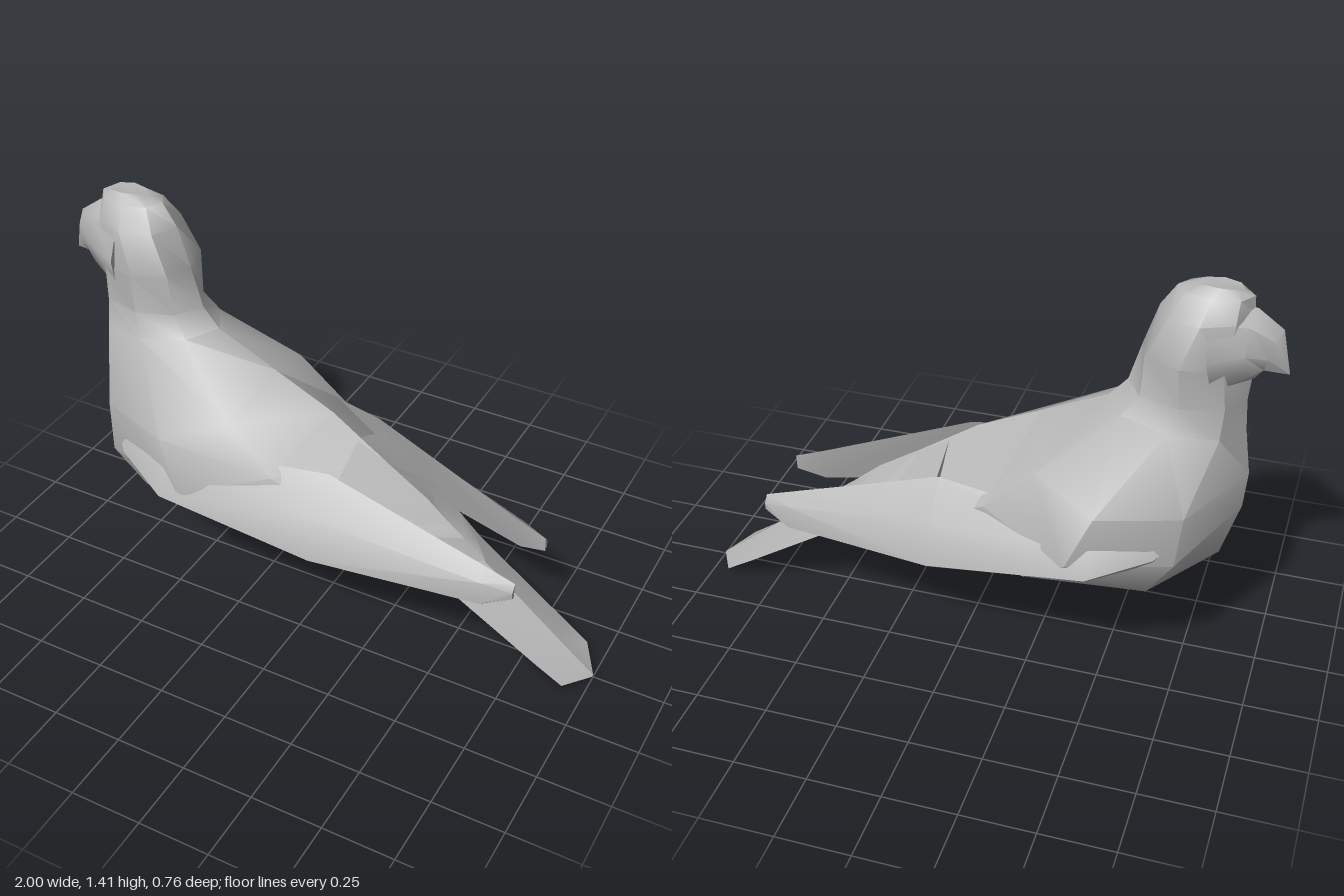
import * as THREE from 'three';
import { toCreasedNormals } from 'three/addons/utils/BufferGeometryUtils.js';

// Skin closed rings of [x, y, z] points and cap both ends
function loft(rings, crease = 0.7) {
  const n = rings[0].length;
  const pos = rings.flat(2);
  const idx = [];
  for (let r = 0; r < rings.length - 1; r++) {
    for (let i = 0; i < n; i++) {
      const a = r * n + i, b = r * n + (i + 1) % n;
      idx.push(a, b, a + n, b, b + n, a + n);
    }
  }
  const last = (rings.length - 1) * n;
  for (const [start, ring] of [[0, rings[0]], [last, rings[rings.length - 1]]]) {
    const c = pos.length / 3;
    for (let k = 0; k < 3; k++) pos.push(ring.reduce((s, p) => s + p[k], 0) / n);
    for (let i = 0; i < n; i++) {
      const a = start + i, b = start + (i + 1) % n;
      if (start === 0) idx.push(c, b, a); else idx.push(c, a, b);
    }
  }
  // Turn the faces outwards if the enclosed volume is negative
  const v = i => new THREE.Vector3().fromArray(pos, i * 3);
  let volume = 0;
  for (let i = 0; i < idx.length; i += 3) volume += v(idx[i]).dot(v(idx[i + 1]).cross(v(idx[i + 2])));
  if (volume < 0) idx.reverse();
  const g = new THREE.BufferGeometry();
  g.setAttribute('position', new THREE.Float32BufferAttribute(pos, 3));
  g.setIndex(idx);
  return toCreasedNormals(g, crease);
}

// Tilted eight-sided oval through a back point, a widest side point and a front point
function ovalRing([backX, backY, sideX, sideY, sideZ, frontX, frontY]) {
  const cx = (backX + frontX) / 2, cy = (backY + frontY) / 2;
  return Array.from({ length: 8 }, (_, i) => {
    const c = Math.cos(i * Math.PI / 4), s = Math.sin(i * Math.PI / 4), out = Math.abs(s);
    return [
      cx + c * (backX - cx) + out * (sideX - cx),
      cy + c * (backY - cy) + out * (sideY - cy),
      s * sideZ,
    ];
  });
}

// Four-sided ring: top and bottom on the centre plane, one point on each side
const kiteRing = ([topX, topY, sideX, sideY, sideZ, lowX, lowY]) =>
  [[topX, topY, 0], [sideX, sideY, sideZ], [lowX, lowY, 0], [sideX, sideY, -sideZ]];

export function createModel() {
  const bird = new THREE.Group();
  bird.name = 'bird';
  const grey = new THREE.MeshStandardMaterial({ color: 0xb5b5b5 });
  grey.name = 'plumage grey';
  const add = (name, geometry) => {
    const mesh = new THREE.Mesh(geometry, grey);
    mesh.name = name;
    bird.add(mesh);
  };

  // Head and neck, then the torso with rings tilting back towards the rump
  const head = [
    [-0.69, 1.40, -0.77, 1.408, 0.04, -0.84, 1.395],
    [-0.635, 1.385, -0.75, 1.38, 0.072, -0.872, 1.38],
    [-0.585, 1.31, -0.73, 1.31, 0.124, -0.875, 1.32],
    [-0.54, 1.17, -0.68, 1.17, 0.148, -0.89, 1.13],
    [-0.50, 1.03, -0.69, 1.02, 0.127, -0.88, 1.02],
  ];
  const torso = [
    [-0.44, 0.96, -0.66, 0.94, 0.157, -0.887, 0.91],
    [-0.22, 0.86, -0.48, 0.70, 0.34, -0.91, 0.75],
    [0, 0.76, -0.40, 0.52, 0.365, -0.90, 0.62],
    [0.21, 0.62, -0.25, 0.40, 0.30, -0.84, 0.42],
    [0.36, 0.52, 0.06, 0.37, 0.21, -0.48, 0.27],
    [0.50, 0.41, 0.24, 0.37, 0.16, -0.06, 0.263],
    [0.58, 0.345, 0.34, 0.38, 0.10, 0.08, 0.36],
  ];
  add('body', loft([...head, ...torso].map(ovalRing)));

  // Hooked beak growing out of the cheeks
  const beak = [
    [-0.77, 1.36, -0.76, 1.20, 0.143, -0.80, 1.03],
    [-0.885, 1.34, -0.87, 1.22, 0.10, -0.895, 1.10],
    [-0.968, 1.28, -0.935, 1.20, 0.058, -0.925, 1.14],
    [-1, 1.13, -0.996, 1.133, 0.006, -0.99, 1.13],
  ];
  add('beak', loft(beak.map(ovalRing)));

  // Rump and thin ridged tail
  const tail = [
    [0.10, 0.69, 0.10, 0.60, 0.18, 0.10, 0.50],
    [0.36, 0.525, 0.34, 0.44, 0.162, 0.36, 0.45],
    [0.55, 0.365, 0.50, 0.31, 0.147, 0.55, 0.34],
    [0.87, 0.11, 0.84, 0.087, 0.127, 0.87, 0.095],
    [1, 0.008, 0.93, 0.03, 0.12, 0.998, 0],
  ];
  add('tail', loft(tail.map(kiteRing), 0.3));

  // Folded wings: sections [x, then y and z of top, bulge, outer edge, underside]
  const wing = [
    [-0.80, 0.66, 0.13, 0.65, 0.15, 0.64, 0.155, 0.62, 0.13],
    [-0.67, 0.64, 0.23, 0.60, 0.27, 0.55, 0.29, 0.52, 0.26],
    [-0.47, 0.65, 0.30, 0.58, 0.345, 0.49, 0.38, 0.46, 0.34],
    [0.08, 0.65, 0.18, 0.53, 0.285, 0.39, 0.33, 0.35, 0.28],
    [0.64, 0.445, 0.135, 0.41, 0.18, 0.33, 0.19, 0.31, 0.165],
    [0.74, 0.41, 0.13, 0.385, 0.152, 0.36, 0.15, 0.352, 0.135],
  ];
  for (const [name, side] of [['leftWing', 1], ['rightWing', -1]]) {
    add(name, loft(wing.map(([x, ...s]) => [0, 2, 4, 6].map(i => [x, s[i], side * s[i + 1]]))));
  }
  return bird;
}
